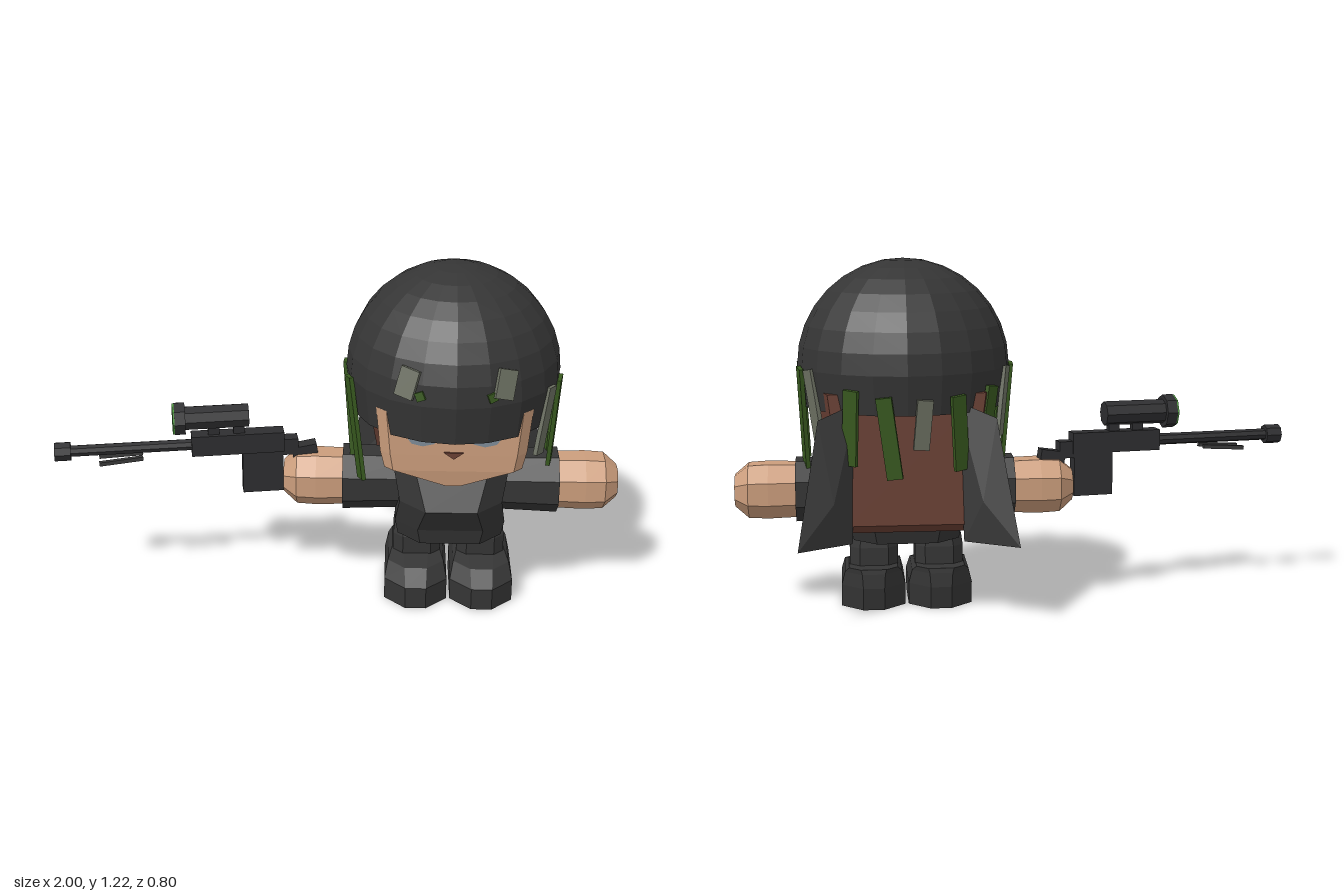
import * as THREE from 'three';

const mat = (name, color, side = THREE.FrontSide) => {
  const m = new THREE.MeshStandardMaterial({ color, flatShading: true, side });
  m.name = name;
  return m;
};

export function createModel() {
  const root = new THREE.Group();
  root.name = 'figure';
  const CX = 0.4; // centre line of the body
  const M = {
    cloth: mat('darkCloth', 0x353535),
    cape: mat('capeCloth', 0x3a3a3a, THREE.DoubleSide),
    gun: mat('gunMetal', 0x2e2e30),
    skin: mat('skin', 0xcb9d7c),
    hair: mat('brownHair', 0x693f33),
    green: mat('leafGreen', 0x38591f),
    grey: mat('leafGrey', 0x6c7062),
    lens: mat('lensGreen', 0x4c9a3c),
    eye: mat('eyeBlueGrey', 0x7d8b97),
  };

  const add = (parent, name, geo, material, x = 0, y = 0, z = 0) => {
    const mesh = new THREE.Mesh(geo, material);
    mesh.name = name;
    mesh.position.set(x, y, z);
    parent.add(mesh);
    return mesh;
  };
  const box = (w, h, d) => new THREE.BoxGeometry(w, h, d);
  const plate = (pts, depth) => new THREE.ExtrudeGeometry(
    new THREE.Shape(pts.map((p) => new THREE.Vector2(...p))), { depth, bevelEnabled: false });

  // Stack of chamfered rectangles: [y, halfWidth, zBack, zFront, chamfer]
  const loft = (rings) => {
    const pos = [], index = [];
    for (const [y, w, b, f, c] of rings) {
      const ring = [[w - c, f], [w, f - c], [w, b + c], [w - c, b],
        [c - w, b], [-w, b + c], [-w, f - c], [c - w, f]];
      for (const [x, z] of ring) pos.push(x, y, z);
    }
    const top = (rings.length - 1) * 8;
    for (let r = 0; r < top; r += 8) {
      for (let i = 0; i < 8; i++) {
        const j = (i + 1) % 8;
        index.push(r + i, r + j, r + 8 + j, r + i, r + 8 + j, r + 8 + i);
      }
    }
    for (let i = 1; i < 7; i++) index.push(0, i + 1, i, top, top + i, top + i + 1);
    const g = new THREE.BufferGeometry();
    g.setAttribute('position', new THREE.Float32BufferAttribute(pos, 3));
    g.setIndex(index);
    const flat = g.toNonIndexed();
    flat.computeVertexNormals();
    return flat;
  };

  // Torso with a flared hem
  add(root, 'torso', loft([
    [0.24, 0.185, -0.17, 0.19, 0.08], [0.3, 0.195, -0.19, 0.205, 0.08],
    [0.4, 0.18, -0.2, 0.265, 0.09], [0.52, 0.205, -0.18, 0.2, 0.08],
    [0.57, 0.18, -0.13, 0.16, 0.07],
  ]), M.cloth, CX);

  // Legs, boots and arms, mirrored about the centre line
  for (const s of [-1, 1]) {
    const side = s > 0 ? 'left' : 'right';
    add(root, side + 'Leg', loft([
      [0.1, 0.085, -0.095, 0.09, 0.035], [0.21, 0.085, -0.095, 0.09, 0.035],
      [0.25, 0.08, -0.09, 0.078, 0.035],
    ]), M.cloth, CX + s * 0.115);
    add(root, side + 'Boot', loft([
      [0, 0.112, -0.15, 0.235, 0.075], [0.08, 0.112, -0.165, 0.235, 0.075],
      [0.13, 0.1, -0.162, 0.175, 0.06], [0.147, 0.085, -0.16, 0.08, 0.04],
    ]), M.cloth, CX + s * 0.118);

    const arm = new THREE.Group();
    arm.name = side + 'Arm';
    arm.position.set(CX, 0.41, 0);
    arm.rotation.z = -s * Math.PI / 2;
    arm.scale.z = 1.1;
    root.add(arm);
    const tube = (name, pts, m) => add(arm, name, new THREE.LatheGeometry(
      pts.map(([r, y]) => new THREE.Vector2(r, y)), 8, Math.PI / 8), m);
    tube('sleeve', [[0, 0.1], [0.105, 0.1], [0.116, 0.385], [0, 0.385]], M.cloth);
    tube('hand', [[0, 0.37], [0.1, 0.37], [0.104, 0.48], [0.1, 0.55], [0.058, 0.598], [0, 0.598]], M.skin);
  }

  // Head with a pointed jaw, eyes, mouth and sideburns
  add(root, 'head', loft([
    [0.52, 0.04, -0.12, 0.295, 0.015], [0.58, 0.235, -0.14, 0.304, 0.03],
    [0.64, 0.25, -0.15, 0.305, 0.035], [0.8, 0.265, -0.15, 0.305, 0.035],
  ]), M.skin, CX);
  for (const s of [-1, 1]) {
    const side = s > 0 ? 'left' : 'right';
    const eye = new THREE.CylinderGeometry(0.055, 0.055, 0.008, 8);
    eye.rotateX(Math.PI / 2);
    eye.scale(1, 0.6, 1);
    add(root, side + 'Eye', eye, M.eye, CX + s * 0.105, 0.707, 0.305);
    const burn = plate([[-0.005, 0.74], [0.035, 0.74], [0.03, 0.635], [0, 0.66]], 0.02);
    burn.rotateY(Math.PI / 2);
    add(root, side + 'Sideburn', burn, M.hair, CX + s * 0.258 - 0.01);
  }
  add(root, 'mouth', plate([[-0.033, 0.012], [0, -0.012], [0.033, 0.012]], 0.009), M.hair, CX, 0.64, 0.304);

  // Hair: side outline pushed across the head, narrowing downwards
  const outline = [[-0.085, 0.78], [-0.1, 0.62], [-0.145, 0.46], [-0.25, 0.3], [-0.285, 0.33], [-0.27, 0.78]];
  const hairGeo = plate(outline.map(([z, y]) => [-z, y]), 2);
  hairGeo.translate(0, 0, -1);
  hairGeo.rotateY(Math.PI / 2); // outline now lies along -z
  const hp = hairGeo.attributes.position;
  for (let i = 0; i < hp.count; i++) {
    const y = hp.getY(i), back = hp.getZ(i) < -0.26 ? 0.85 : 1;
    hp.setX(i, hp.getX(i) * back * (0.24 + 0.075 * (y - 0.3) / 0.48));
  }
  hairGeo.computeVertexNormals();
  add(root, 'hair', hairGeo, M.hair, CX);

  // Flared cloth tails behind the shoulders
  for (const s of [-1, 1]) {
    const pts = [[0.17, 0.75, -0.26], [0.3, 0.7, -0.32], [0.372, 0.27, -0.403], [0.19, 0.27, -0.285], [0.25, 0.42, -0.35]];
    const g = new THREE.BufferGeometry();
    g.setAttribute('position', new THREE.Float32BufferAttribute(pts.flatMap(([x, y, z]) => [x * s, y, z]), 3));
    g.setIndex([0, 4, 1, 1, 4, 2, 2, 4, 3, 3, 4, 0]);
    g.computeVertexNormals();
    add(root, s > 0 ? 'leftTail' : 'rightTail', g, M.cape, CX);
  }

  // Helmet dome
  const helmet = new THREE.Group();
  helmet.name = 'helmetGroup';
  helmet.position.set(CX, 0, 0.014);
  helmet.scale.z = 1.03;
  root.add(helmet);
  const dome = [new THREE.Vector2(0, 0.715), new THREE.Vector2(0.356, 0.715)];
  for (let i = 0; i <= 8; i++) {
    const t = i / 8 * Math.PI / 2;
    dome.push(new THREE.Vector2(i === 8 ? 0 : 0.373 * Math.cos(t), 0.85 + 0.373 * Math.sin(t)));
  }
  add(helmet, 'helmet', new THREE.LatheGeometry(dome, 20), M.cloth);

  // Camouflage strips: [angle, top, bottom, slant, material]
  const strips = [
    [59, 0.855, 0.61, -0.16, M.grey], [78, 0.855, 0.51, 0.11, M.green],
    [103, 0.855, 0.48, -0.14, M.green], [120, 0.855, 0.61, 0.16, M.grey],
    [148, 0.8, 0.54, -0.08, M.green], [170, 0.78, 0.5, 0.12, M.green],
    [188, 0.77, 0.6, -0.08, M.grey], [209, 0.78, 0.52, 0.1, M.green],
    [229, 0.8, 0.52, -0.12, M.green], [249, 0.855, 0.61, -0.08, M.grey],
    [268, 0.855, 0.48, 0.1, M.green], [291, 0.855, 0.48, 0.14, M.green],
  ];
  const strip = (name, deg, y, r, h, w, lean, slant, m) => {
    const pivot = new THREE.Group();
    pivot.name = name + 'Pivot';
    pivot.rotation.y = deg * Math.PI / 180;
    helmet.add(pivot);
    const mesh = add(pivot, name, box(w, h, 0.015), m, 0, y, r);
    mesh.rotation.set(lean, 0, slant);
  };
  for (const [deg, top, bottom, slant, m] of strips) {
    strip('camoStrip', deg, (top + bottom) / 2, 0.362, top - bottom, 0.054, 0.08, slant, m);
  }
  for (const [deg, slant] of [[-26, -0.18], [26, -0.28]]) {
    strip('camoPatch', deg, 0.925, 0.37, 0.1, 0.068, -0.22, slant, M.grey);
    strip('camoLeaf', deg * 0.72, 0.885, 0.37, 0.03, 0.03, -0.1, slant + 0.6, M.green);
  }

  // Rifle, pointing along its own -x and swung slightly forward
  const gun = new THREE.Group();
  gun.name = 'rifle';
  gun.position.set(-0.08, 0, -0.01);
  gun.rotation.y = 0.172;
  root.add(gun);
  const rod = (name, r, x0, x1, y, m = M.gun) => {
    const g = new THREE.CylinderGeometry(r, r, x1 - x0, 8);
    g.rotateZ(Math.PI / 2);
    return add(gun, name, g, m, (x0 + x1) / 2, y, 0);
  };
  const block = (name, x0, x1, y0, y1, d) =>
    add(gun, name, box(x1 - x0, y1 - y0, d), M.gun, (x0 + x1) / 2, (y0 + y1) / 2, 0);
  rod('barrel', 0.021, -0.92, -0.42, 0.555);
  rod('muzzle', 0.035, -0.932, -0.875, 0.555);
  block('receiver', -0.45, -0.12, 0.52, 0.595, 0.06);
  block('magazine', -0.27, -0.125, 0.365, 0.53, 0.05);
  block('rearReceiver', -0.13, -0.07, 0.505, 0.565, 0.05);
  block('grip', -0.09, 0, 0.485, 0.535, 0.05).rotation.z = 0.15;
  rod('scope', 0.044, -0.49, -0.245, 0.658);
  rod('scopeFront', 0.061, -0.508, -0.47, 0.658);
  rod('scopeLens', 0.059, -0.514, -0.506, 0.658, M.lens);
  for (const x of [-0.37, -0.28]) block('scopeMount', x - 0.02, x + 0.02, 0.59, 0.63, 0.03);
  for (const s of [-1, 1]) {
    const leg = add(gun, 'bipodLeg', box(0.155, 0.014, 0.016), M.cape, -0.7, 0.519, s * 0.028);
    leg.rotation.set(0, s * 0.06, 0.06);
  }

  return root;
}
